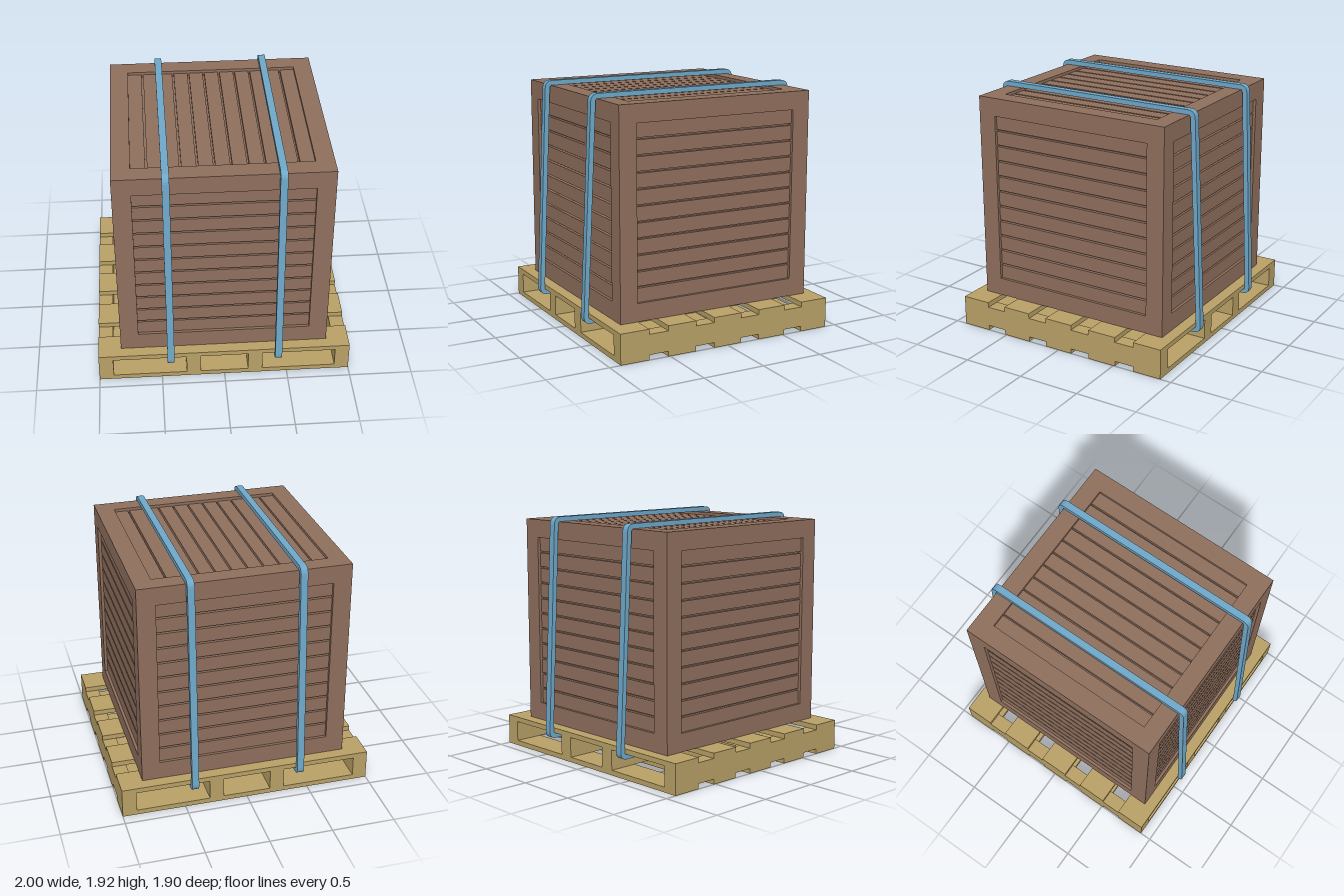
import * as THREE from 'three';

const mat = (color) => new THREE.MeshStandardMaterial({ color });
const crateMat = mat(0x8f6f5d);
const palletMat = mat(0xb8a066);
const strapMat = mat(0x6fa8c9);

function box(parent, name, material, size, pos) {
  const m = new THREE.Mesh(new THREE.BoxGeometry(...size), material);
  m.name = name;
  m.position.set(...pos);
  parent.add(m);
  return m;
}

// Pallet: four stringers between five upper and five lower boards
function createPallet() {
  const g = new THREE.Group();
  g.name = 'pallet';
  for (const x of [-0.943, -0.246, 0.246, 0.943]) {
    box(g, 'stringer', palletMat, [0.114, 0.16, 1.82], [x, 0.12, 0]);
  }
  for (let i = -2; i <= 2; i++) {
    const z = i * 0.396;
    const depth = Math.abs(i) === 2 ? 0.236 : 0.237;
    box(g, 'upperBoard', palletMat, [2, 0.04, depth], [0, 0.22, z]);
    box(g, 'lowerBoard', palletMat, [2, 0.04, depth], [0, 0.02, z]);
  }
  return g;
}

// Slatted panel facing +z, with planks running along x
function createPanel(inner, floor, face) {
  const g = new THREE.Group();
  g.name = 'slattedPanel';
  const count = 11, gap = 0.014;
  const height = (2 * inner - gap * (count - 1)) / count;
  for (let i = 0; i < count; i++) {
    const y = -inner + height / 2 + i * (height + gap);
    box(g, 'plank', crateMat, [2 * inner, height, face - floor], [0, y, (face + floor) / 2]);
  }
  return g;
}

// Crate: solid core, twelve edge beams and six recessed panels
function createCrate() {
  const g = new THREE.Group();
  g.name = 'crate';
  const half = 0.82, inner = 0.677, floor = 0.77, face = 0.797;
  const beam = half - inner, c = (half + inner) / 2;
  box(g, 'core', crateMat, [2 * floor, 2 * floor, 2 * floor], [0, 0, 0]);
  for (const a of [-c, c]) {
    for (const b of [-c, c]) {
      box(g, 'cornerPost', crateMat, [beam, 2 * half, beam], [a, 0, b]);
      box(g, 'sideRail', crateMat, [beam, beam, 2 * inner], [a, b, 0]);
      box(g, 'crossRail', crateMat, [2 * inner, beam, beam], [0, a, b]);
    }
  }
  for (let i = 0; i < 4; i++) {
    const p = createPanel(inner, floor, face);
    p.rotation.y = i * Math.PI / 2;
    g.add(p);
  }
  // Top and bottom planks run front to back
  for (const s of [-1, 1]) {
    const p = createPanel(inner, floor, face);
    p.rotation.set(s * Math.PI / 2, 0, Math.PI / 2);
    g.add(p);
  }
  g.position.y = 1.062;
  return g;
}

// Closed four-sided loop with rounded corners
function roundedLoop(path, pts, r) {
  const v = pts.map((p) => new THREE.Vector2(...p));
  const n = v.length;
  v.forEach((p, i) => {
    const toward = (q) => q.clone().sub(p).setLength(r).add(p);
    const a = toward(v[(i + n - 1) % n]);
    const b = toward(v[(i + 1) % n]);
    if (i === 0) path.moveTo(a.x, a.y);
    else path.lineTo(a.x, a.y);
    path.quadraticCurveTo(p.x, p.y, b.x, b.y);
  });
  path.closePath();
  return path;
}

// Strap: a band over the crate and under the pallet's upper boards
function createStrapGeometry() {
  const loop = (topZ, topY, lowZ, lowY) =>
    [[-lowZ, lowY], [lowZ, lowY], [topZ, topY], [-topZ, topY]];
  const shape = roundedLoop(new THREE.Shape(), loop(0.866, 1.92, 0.952, 0.155), 0.06);
  shape.holes.push(roundedLoop(new THREE.Path(), loop(0.828, 1.882, 0.912, 0.195), 0.02));
  const geo = new THREE.ExtrudeGeometry(shape, { depth: 0.055, bevelEnabled: false, curveSegments: 5 });
  geo.translate(0, 0, -0.0275);
  geo.rotateY(-Math.PI / 2);
  return geo;
}

export function createModel() {
  const model = new THREE.Group();
  model.name = 'strappedCrate';
  model.add(createPallet(), createCrate());
  const strapGeo = createStrapGeometry();
  for (const x of [-0.427, 0.427]) {
    const strap = new THREE.Mesh(strapGeo, strapMat);
    strap.name = x > 0 ? 'leftStrap' : 'rightStrap';
    strap.position.x = x;
    model.add(strap);
  }
  return model;
}
